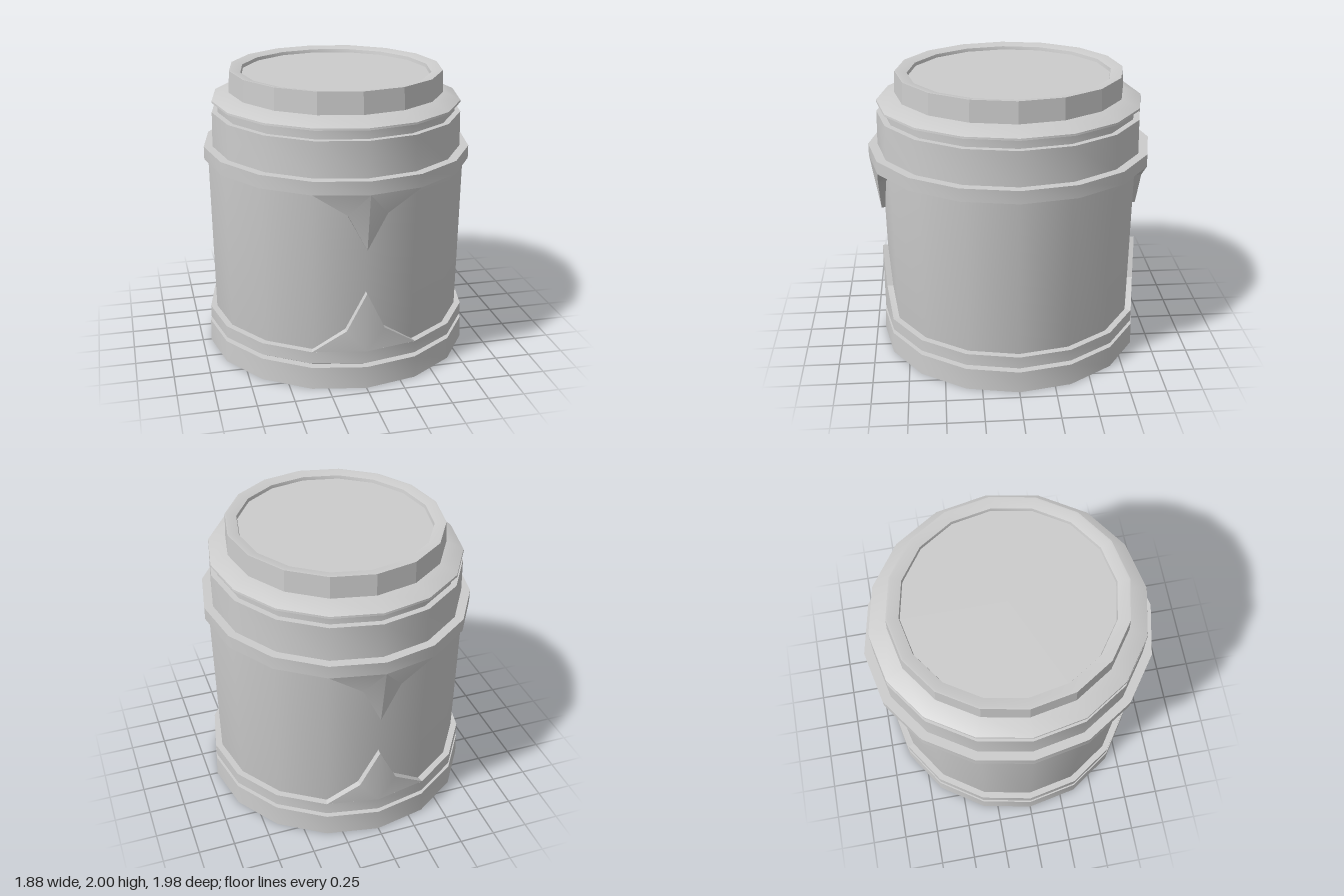
import * as THREE from 'three';
import { toCreasedNormals } from 'three/addons/utils/BufferGeometryUtils.js';

const SIDES = 16;
const STRETCH = 1.065; // upper parts are slightly deeper than wide
const material = new THREE.MeshStandardMaterial({ color: 0xcccccc });
const flatMaterial = new THREE.MeshStandardMaterial({ color: 0xcccccc, flatShading: true });

// Sixteen-sided turned part from a bottom-to-top [radius, y] profile
function turned(name, profile, depth = 1, mat = material) {
  const lathe = new THREE.LatheGeometry(profile.map(([r, y]) => new THREE.Vector2(r, y)), SIDES);
  lathe.scale(1, 1, depth);
  const mesh = new THREE.Mesh(toCreasedNormals(lathe, 0.45), mat);
  mesh.name = name;
  return mesh;
}

// Pointed tongue growing out of a ring: outer and inner outlines
// run corner -> shoulder -> tip, mirrored across x = 0
function tongue(name, root, outer, inner) {
  const down = outer[2][1] < root[1];
  const positions = [];
  for (const sx of [1, -1]) {
    const add = (...tri) => {
      if ((sx > 0) !== down) tri.reverse();
      for (const [x, y, z] of tri) positions.push(sx * x, y, z);
    };
    const [corner, shoulder, tip] = outer;
    add(root, tip, shoulder);
    add(root, shoulder, corner);
    for (let i = 0; i < 2; i++) {
      add(outer[i + 1], inner[i + 1], inner[i]);
      add(outer[i + 1], inner[i], outer[i]);
    }
  }
  const geometry = new THREE.BufferGeometry();
  geometry.setAttribute('position', new THREE.Float32BufferAttribute(positions, 3));
  const mesh = new THREE.Mesh(toCreasedNormals(geometry, 0.5), material);
  mesh.name = name;
  return mesh;
}

export function createModel() {
  const model = new THREE.Group();
  model.name = 'canister';

  // Foot, lower band and slightly flared body
  model.add(turned('base', [[0, 0], [0.94, 0], [0.935, 0.155], [0, 0.155]]));
  model.add(turned('lowerBand', [[0.86, 0.15], [0.88, 0.155], [0.93, 0.185], [0.93, 0.27], [0.87, 0.27]]));
  model.add(turned('body', [[0.86, 0.14], [0.885, 0.27], [0.902, 1.4], [0.8, 1.42]]));

  // Upper band with collar, groove and sloping shoulder
  model.add(turned('upperBand', [[0.8, 1.39], [0.93, 1.39], [0.93, 1.48], [0.86, 1.48]], STRETCH));
  model.add(turned('collar', [[0.87, 1.46], [0.865, 1.72], [0.825, 1.72], [0.825, 1.785]], STRETCH));
  model.add(turned('shoulder', [[0.8, 1.78], [0.865, 1.787], [0.863, 1.8], [0.75, 1.852], [0.7, 1.852]], STRETCH));

  // Faceted lid with a bevelled rim and sunken top
  model.add(turned('lid', [[0.745, 1.845], [0.737, 2]], STRETCH, flatMaterial));
  model.add(turned('lidRim', [[0.737, 2], [0.725, 2], [0.66, 1.985], [0.655, 1.962], [0, 1.962]], STRETCH));

  // Facing pairs of tongues on front and back
  for (const [side, turn, tipY] of [['front', 0, 0.99], ['back', Math.PI, 0.97]]) {
    const pair = new THREE.Group();
    pair.name = side + 'Tongues';
    pair.rotation.y = turn;
    pair.add(tongue('upperTongue', [0, 1.39, 0.99],
      [[0.356, 1.39, 0.915], [0.13, 1.24, 0.93], [0, tipY, 0.922]],
      [[0.345, 1.39, 0.82], [0.13, 1.24, 0.86], [0, tipY, 0.88]]));
    pair.add(tongue('lowerTongue', [0, 0.27, 0.93],
      [[0.356, 0.27, 0.859], [0.13, 0.42, 0.904], [0, 0.69, 0.93]],
      [[0.345, 0.27, 0.81], [0.13, 0.42, 0.85], [0, 0.69, 0.88]]));
    model.add(pair);
  }
  return model;
}
